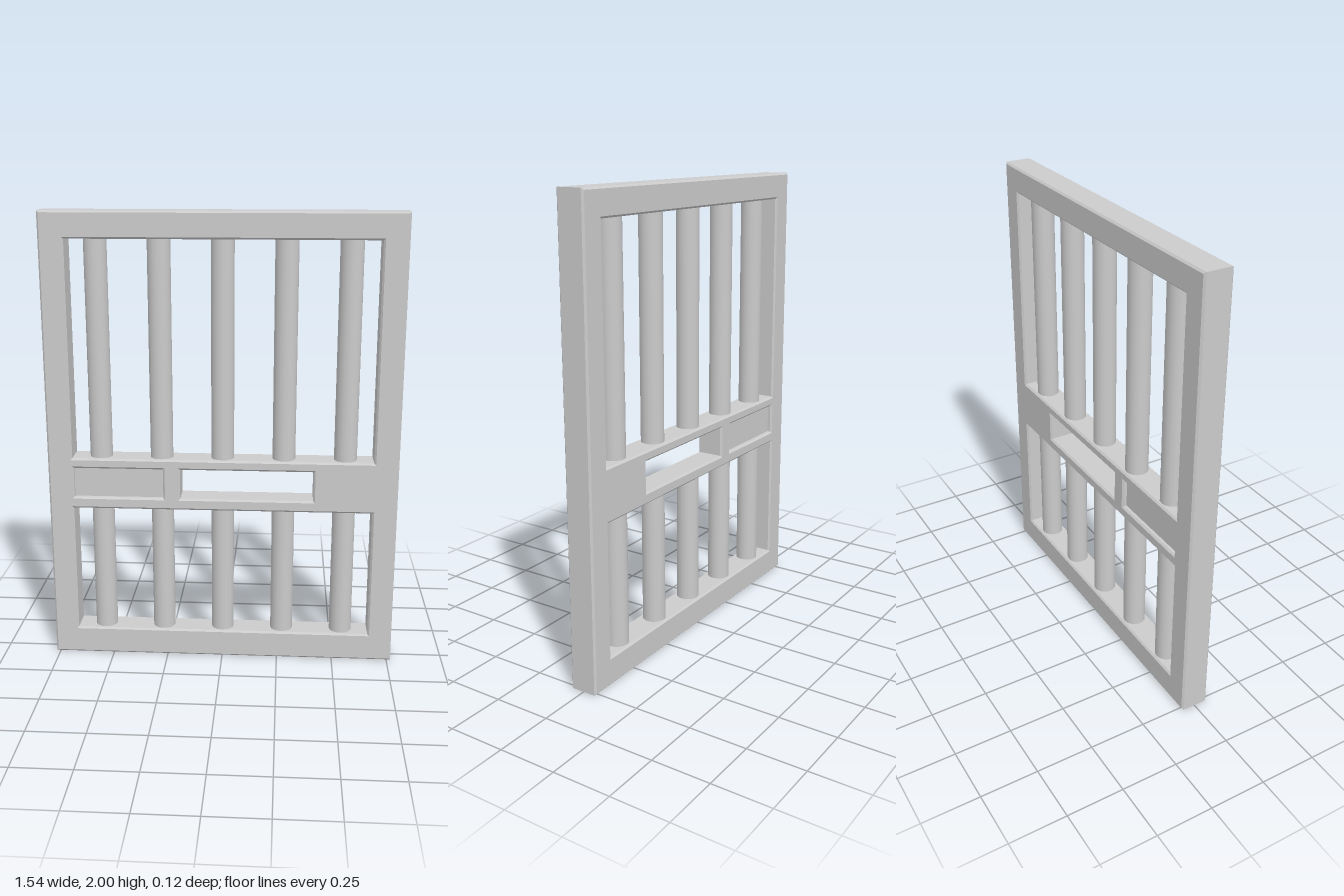
import * as THREE from 'three';

const material = new THREE.MeshStandardMaterial({ color: 0xcccccc });
const HALF_DEPTH = 0.0625;
const BEVEL = 0.008;

// Closed rectangular outline, usable as a shape or a hole
function rect(PathType, x0, x1, y0, y1) {
  const p = new PathType();
  p.moveTo(x0, y0);
  p.lineTo(x1, y0);
  p.lineTo(x1, y1);
  p.lineTo(x0, y1);
  p.closePath();
  return p;
}

function addMesh(parent, name, geometry, x = 0, y = 0, z = 0) {
  const mesh = new THREE.Mesh(geometry, material);
  mesh.name = name;
  mesh.position.set(x, y, z);
  parent.add(mesh);
  return mesh;
}

export function createModel() {
  const model = new THREE.Group();
  model.name = 'barredDoor';

  // Frame with crossbar: two barred openings, a pass-through slot and a lock recess
  const outline = rect(THREE.Shape, -0.768, 0.768, 0, 2);
  outline.holes.push(
    rect(THREE.Path, -0.66, 0.66, 0.935, 1.885),
    rect(THREE.Path, -0.66, 0.66, 0.125, 0.705),
    rect(THREE.Path, -0.185, 0.4, 0.757, 0.89),
    rect(THREE.Path, -0.655, -0.26, 0.757, 0.89)
  );
  const frame = new THREE.ExtrudeGeometry(outline, {
    depth: 2 * (HALF_DEPTH - BEVEL),
    bevelThickness: BEVEL,
    bevelSize: BEVEL,
    bevelOffset: -BEVEL,
    bevelSegments: 1
  });
  frame.translate(0, 0, BEVEL - HALF_DEPTH);
  // Restore the outer edge so that the bevel is cut into the full-size frame
  const pos = frame.attributes.position;
  for (let i = 0; i < pos.count; i++) {
    const x = pos.getX(i);
    const y = pos.getY(i);
    const inset = Math.abs(pos.getZ(i)) > HALF_DEPTH - BEVEL / 2 ? BEVEL : 0;
    if (Math.abs(x) > 0.72) pos.setX(i, Math.sign(x) * (0.768 - inset));
    if (y < 0.06) pos.setY(i, inset);
    if (y > 1.94) pos.setY(i, 2 - inset);
  }
  frame.computeVertexNormals();
  addMesh(model, 'frame', frame);

  // Lock plate, sunk below both faces
  addMesh(model, 'lockPlate', new THREE.BoxGeometry(0.41, 0.145, 0.085), -0.4575, 0.8235, 0);

  // Round bars, in an upper and a lower row
  const rows = [
    { name: 'upperBars', y0: 0.925, y1: 1.895 },
    { name: 'lowerBars', y0: 0.115, y1: 0.715 }
  ];
  for (const { name, y0, y1 } of rows) {
    const row = new THREE.Group();
    row.name = name;
    const bar = new THREE.CylinderGeometry(0.05, 0.05, y1 - y0, 16, 1, true);
    for (let i = -2; i <= 2; i++) addMesh(row, 'bar', bar, i * 0.269, (y0 + y1) / 2);
    model.add(row);
  }

  return model;
}
